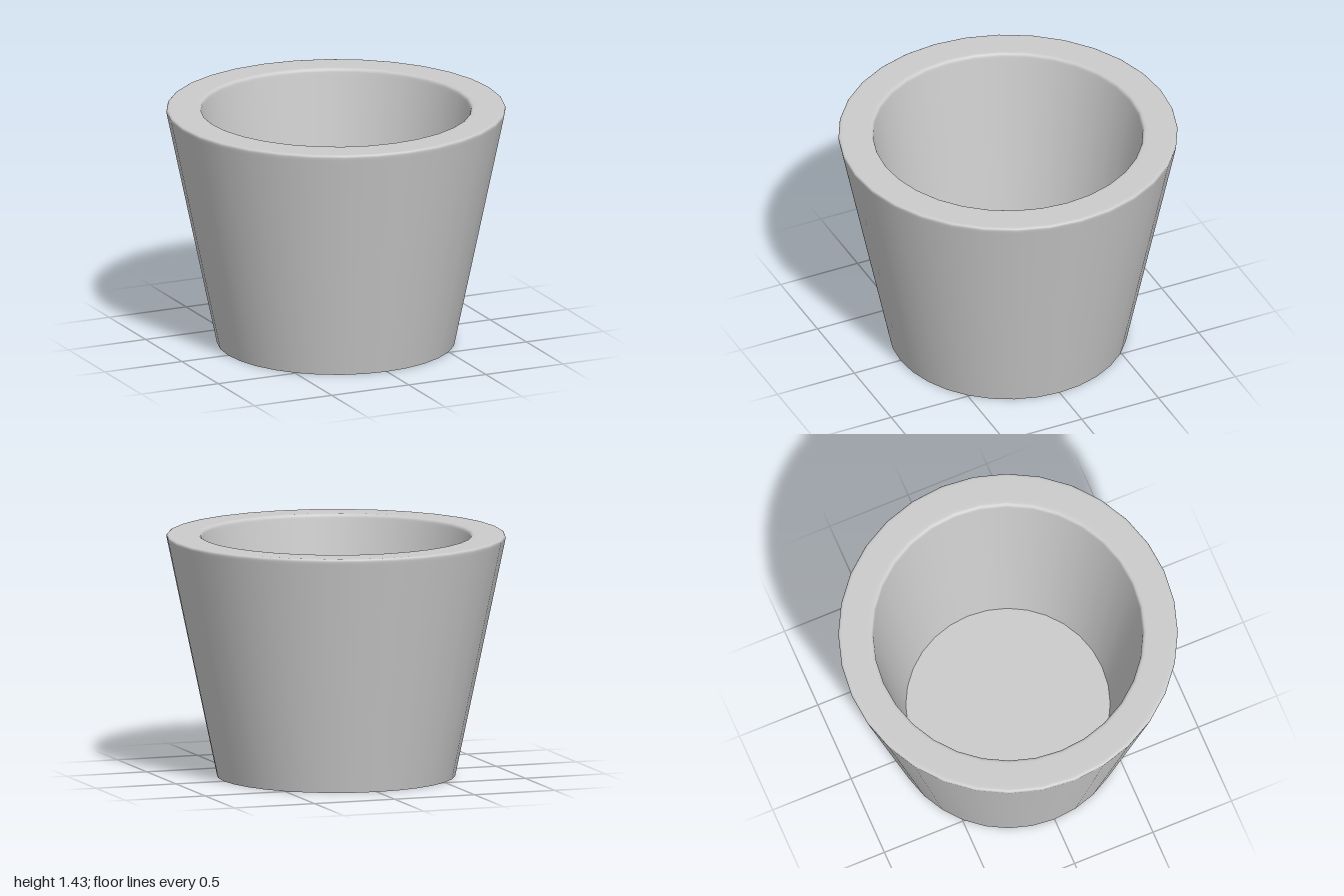
import * as THREE from 'three';

const SIDES = 32;
const HEIGHT = 1.43;
const FLOOR_Y = 0.2;

export function createModel() {
  const model = new THREE.Group();
  model.name = 'plantPot';
  const material = new THREE.MeshStandardMaterial({ color: 0xcccccc });

  const add = (name, geometry) => {
    const mesh = new THREE.Mesh(geometry, material);
    mesh.name = name;
    model.add(mesh);
    return mesh;
  };

  // Tapered wall: up the outside, over the softened rim, down the inside
  const profile = new THREE.Path();
  profile.moveTo(0.7, 0);
  profile.lineTo(0.993, 1.395);
  profile.lineTo(0.996, 1.41);
  profile.quadraticCurveTo(1, HEIGHT, 0.98, HEIGHT);
  profile.lineTo(0.965, HEIGHT);
  profile.lineTo(0.83, HEIGHT);
  profile.lineTo(0.815, HEIGHT);
  profile.quadraticCurveTo(0.795, HEIGHT, 0.792, 1.41);
  profile.lineTo(0.79, 1.395);
  profile.lineTo(0.6, FLOOR_Y);
  add('wall', new THREE.LatheGeometry(profile.getPoints(4), SIDES));

  // Flat discs closing the inside and the underside
  const disc = (name, radius, y, turn) => {
    const mesh = add(name, new THREE.CircleGeometry(radius, SIDES));
    mesh.rotation.x = turn;
    mesh.position.y = y;
  };
  disc('innerFloor', 0.6, FLOOR_Y, -Math.PI / 2);
  disc('base', 0.7, 0, Math.PI / 2);

  return model;
}
